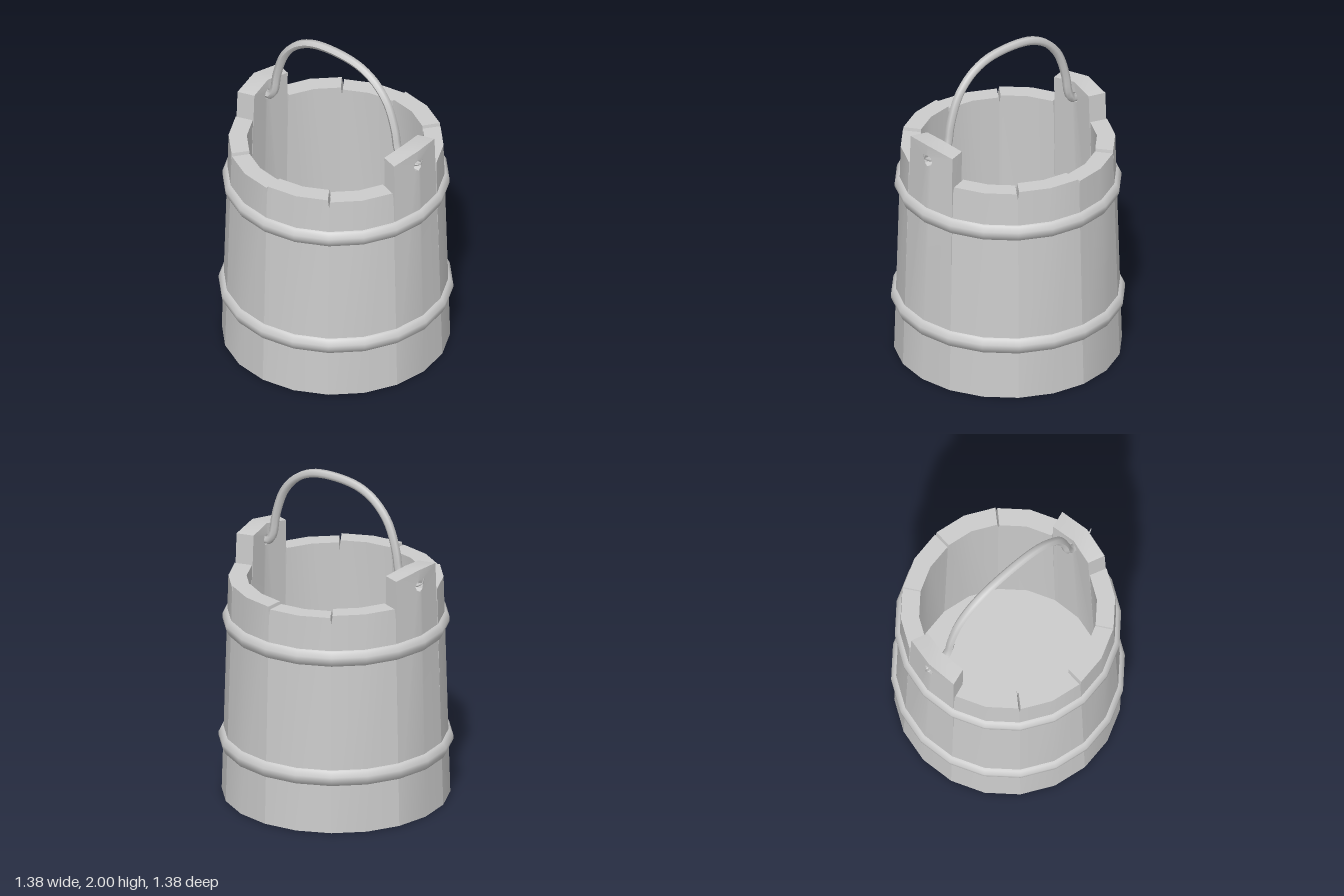
import * as THREE from 'three';
import { toCreasedNormals } from 'three/addons/utils/BufferGeometryUtils.js';
import { mergeGeometries } from 'three/addons/utils/BufferGeometryUtils.js';

const STEP = Math.PI / 10; // each stave covers two of twenty sides
const outerR = (y) => 0.67 - 0.029 * y;
const innerR = (y) => 0.56 - 0.027 * y;

export function createModel() {
  const group = new THREE.Group();
  const material = new THREE.MeshStandardMaterial({ color: 0xcccccc });

  function add(name, geometry, parent = group) {
    const mesh = new THREE.Mesh(geometry, material);
    mesh.name = name;
    parent.add(mesh);
    return mesh;
  }

  // A half outline (u = 0..1 across, y up) is mirrored, extruded and bent onto the tapered wall
  function staveGeometry(outline) {
    const halves = [1, -1].map((side) => {
      const shape = new THREE.Shape(outline.map(([u, y]) => new THREE.Vector2(u * side, y)));
      return new THREE.ExtrudeGeometry(shape, { depth: 1, bevelEnabled: false });
    });
    const geometry = mergeGeometries(halves);
    const p = geometry.attributes.position;
    for (let i = 0; i < p.count; i++) {
      const u = p.getX(i), y = p.getY(i);
      const r = THREE.MathUtils.lerp(innerR(y), outerR(y), p.getZ(i));
      p.setXYZ(i, r * Math.sin(STEP) * u, y, r * (1 - Math.abs(u) * (1 - Math.cos(STEP))));
    }
    return toCreasedNormals(geometry, Math.PI / 6);
  }

  // Plain staves with nicked top corners, and two tall staves with a handle hole
  const plain = (top) => staveGeometry([[0, 0], [1, 0], [1, top - 0.045], [0.965, top], [0, top]]);
  const hole = [];
  for (let i = 0; i <= 4; i++) {
    const a = Math.PI / 2 - (i * Math.PI) / 4;
    hole.push([Math.cos(a) * 0.18, 1.452 + Math.sin(a) * 0.035]);
  }
  const tall = staveGeometry([[0, 0], [1, 0], [1, 0.67], [0.955, 1.53], [0, 1.553], ...hole]);
  const staves = new THREE.Group();
  staves.name = 'staves';
  group.add(staves);
  const low = plain(1.348), high = plain(1.362);
  for (let k = 0; k < 10; k++) {
    const isTall = k % 5 === 2;
    const mesh = add(isTall ? 'handleStave' : 'stave', isTall ? tall : k % 2 ? low : high, staves);
    mesh.rotation.y = STEP * (2 * k + 1);
  }

  // Floor set above the lower rim
  const floor = new THREE.CylinderGeometry(0.565, 0.565, 0.07, 20);
  add('floor', floor).position.y = 0.135;

  // Ridged hoops
  for (const [name, y] of [['lowerHoop', 0.345], ['upperHoop', 1.093]]) {
    const r = outerR(y);
    const profile = [[-0.01, -0.05], [0.012, -0.045], [0.028, -0.012], [0.028, 0.012], [0.012, 0.045], [-0.01, 0.05]]
      .map(([dr, dy]) => new THREE.Vector2(r + dr, y + dy));
    add(name, new THREE.LatheGeometry(profile, 20));
  }

  // Wire handle: an arch that passes through both holes and ends in upturned, pointed hooks
  const half = [[0.658, 1.51], [0.648, 1.475], [0.61, 1.452], [0.5, 1.452], [0.468, 1.51], [0.45, 1.62],
    [0.39, 1.79], [0.3, 1.895], [0.2, 1.952], [0.09, 1.976]];
  const path = [...half, ...half.slice().reverse().map(([x, y]) => [-x, y])]
    .map(([x, y]) => new THREE.Vector3(x, y, 0));
  const curve = new THREE.CatmullRomCurve3(path, false, 'centripetal');
  const segments = 52, sides = 6;
  const handle = new THREE.TubeGeometry(curve, segments, 0.026, sides);
  const p = handle.attributes.position;
  const v = new THREE.Vector3();
  for (let i = 0; i < p.count; i++) {
    const c = curve.getPointAt(Math.floor(i / (sides + 1)) / segments);
    const taper = 1 - 0.9 * THREE.MathUtils.clamp((Math.abs(c.x) - 0.5) / 0.158, 0, 1);
    v.fromBufferAttribute(p, i).sub(c).multiplyScalar(taper).add(c);
    p.setXYZ(i, v.x, v.y, v.z);
  }
  handle.computeVertexNormals();
  add('handle', handle);

  return group;
}
